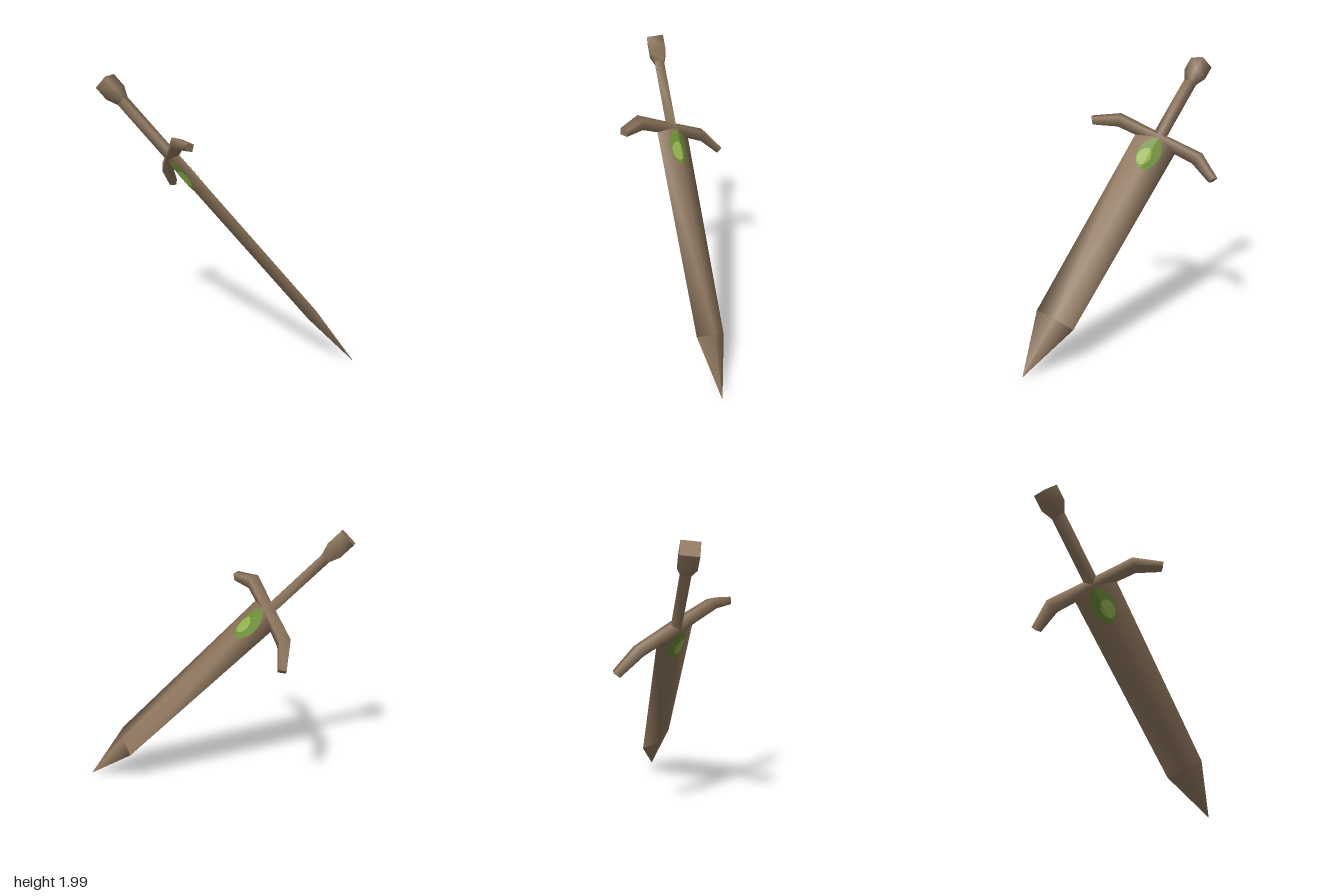
import * as THREE from 'three';

const wood = new THREE.MeshStandardMaterial({ name: 'brown', color: 0x8f775e });
const green = new THREE.MeshStandardMaterial({ name: 'green', color: 0x6f9038 });
const lightGreen = new THREE.MeshStandardMaterial({ name: 'lightGreen', color: 0x96b652 });

function build(points, index) {
  const g = new THREE.BufferGeometry();
  g.setAttribute('position', new THREE.Float32BufferAttribute(points.flat(), 3));
  g.setIndex(index);
  g.computeVertexNormals();
  return g;
}

// Skin four-cornered rings, smooth along the sides, with flat end caps
function loft(name, rings) {
  const pts = rings.flat();
  const index = [];
  for (let r = 0; r < rings.length - 1; r++) {
    for (let i = 0; i < 4; i++) {
      const a = r * 4 + i, b = r * 4 + (i + 1) % 4;
      index.push(a, b, a + 4, b, b + 4, a + 4);
    }
  }
  const n = pts.length;
  pts.push(...rings[0], ...rings[rings.length - 1]);
  index.push(n + 2, n + 1, n, n + 3, n + 2, n);
  index.push(n + 4, n + 5, n + 6, n + 4, n + 6, n + 7);
  const mesh = new THREE.Mesh(build(pts, index), wood);
  mesh.name = name;
  return mesh;
}

// Diamond ring around the sword axis: s = distance from the pommel end
const diamond = ([s, w, t]) => [[w, -s, 0], [0, -s, t], [-w, -s, 0], [0, -s, -t]];

const BASE = [0.72, 0.165, 0.047], SHOULDER = [2.25, 0.142, 0.042];

// Blade surface height above the centre plane
function bladeHeight(u, s) {
  const k = (s - BASE[0]) / (SHOULDER[0] - BASE[0]);
  const w = THREE.MathUtils.lerp(BASE[1], SHOULDER[1], k);
  const t = THREE.MathUtils.lerp(BASE[2], SHOULDER[2], k);
  return t * (1 - Math.abs(u) / w);
}

// Thin oval inlay that follows the blade ridge on one side
function inlay(name, material, uc, sc, ru, rs, lift, side) {
  const pts = [], index = [], half = 8;
  for (let i = 0; i <= half * 2; i++) {
    const k = i / half - 1;
    const e = Math.sin(k * Math.PI / 2);
    const u = k < 0 ? -e * (uc - ru) : e * (uc + ru);
    const h = rs * Math.sqrt(Math.max(0, 1 - ((u - uc) / ru) ** 2));
    for (const s of [sc - h, sc + h]) pts.push([u, -s, side * (bladeHeight(u, s) + lift)]);
    if (i) {
      const a = i * 2 - 2;
      if (side > 0) index.push(a, a + 1, a + 2, a + 1, a + 3, a + 2);
      else index.push(a, a + 2, a + 1, a + 1, a + 2, a + 3);
    }
  }
  const mesh = new THREE.Mesh(build(pts, index), material);
  mesh.name = name;
  return mesh;
}

export function createModel() {
  const sword = new THREE.Group();
  sword.name = 'sword';

  sword.add(loft('pommel', [[-0.015, 0.088, 0.085], [0.1, 0.088, 0.085], [0.18, 0.05, 0.048]].map(diamond)));
  sword.add(loft('handle', [[0.17, 0.05, 0.047], [0.72, 0.05, 0.047]].map(diamond)));
  sword.add(loft('blade', [BASE, SHOULDER].map(diamond)));
  sword.add(loft('bladeTip', [SHOULDER, [2.678, 0.001, 0.001]].map(diamond)));

  // Crossguard: [upper x, upper s, lower x, lower s, half thickness] from tip to middle
  const arm = [[0.525, 0.79, 0.48, 0.85, 0.036], [0.34, 0.665, 0.31, 0.775, 0.05], [0, 0.668, 0, 0.765, 0.055]];
  const ring = (sign) => ([xu, su, xl, sl, t]) => {
    const x = sign * (xu + xl) / 2, y = -(su + sl) / 2;
    return [[sign * xu, -su, 0], [x, y, t], [sign * xl, -sl, 0], [x, y, -t]];
  };
  const rightArm = arm.slice(0, 2).reverse().map(ring(1));
  sword.add(loft('crossguard', [...arm.map(ring(-1)), ...rightArm]));

  // Green oval on both faces of the blade
  for (const side of [1, -1]) {
    sword.add(inlay('gem', green, 0, 0.875, 0.082, 0.135, 0.004, side));
    sword.add(inlay('gemHighlight', lightGreen, -0.022, 0.91, 0.05, 0.07, 0.007, side));
  }

  // Lean the sword: tip down and forward, crossguard slanting across
  const along = new THREE.Vector3(0.29, -0.722, 0.628).normalize();
  const across = new THREE.Vector3(0.563, -0.405, -0.721);
  across.addScaledVector(along, -across.dot(along)).normalize();
  const face = along.clone().cross(across);
  sword.quaternion.setFromRotationMatrix(new THREE.Matrix4().makeBasis(across, along.clone().negate(), face));
  sword.position.set(-0.35, 1.937, -0.81);

  const model = new THREE.Group();
  model.add(sword);
  return model;
}
